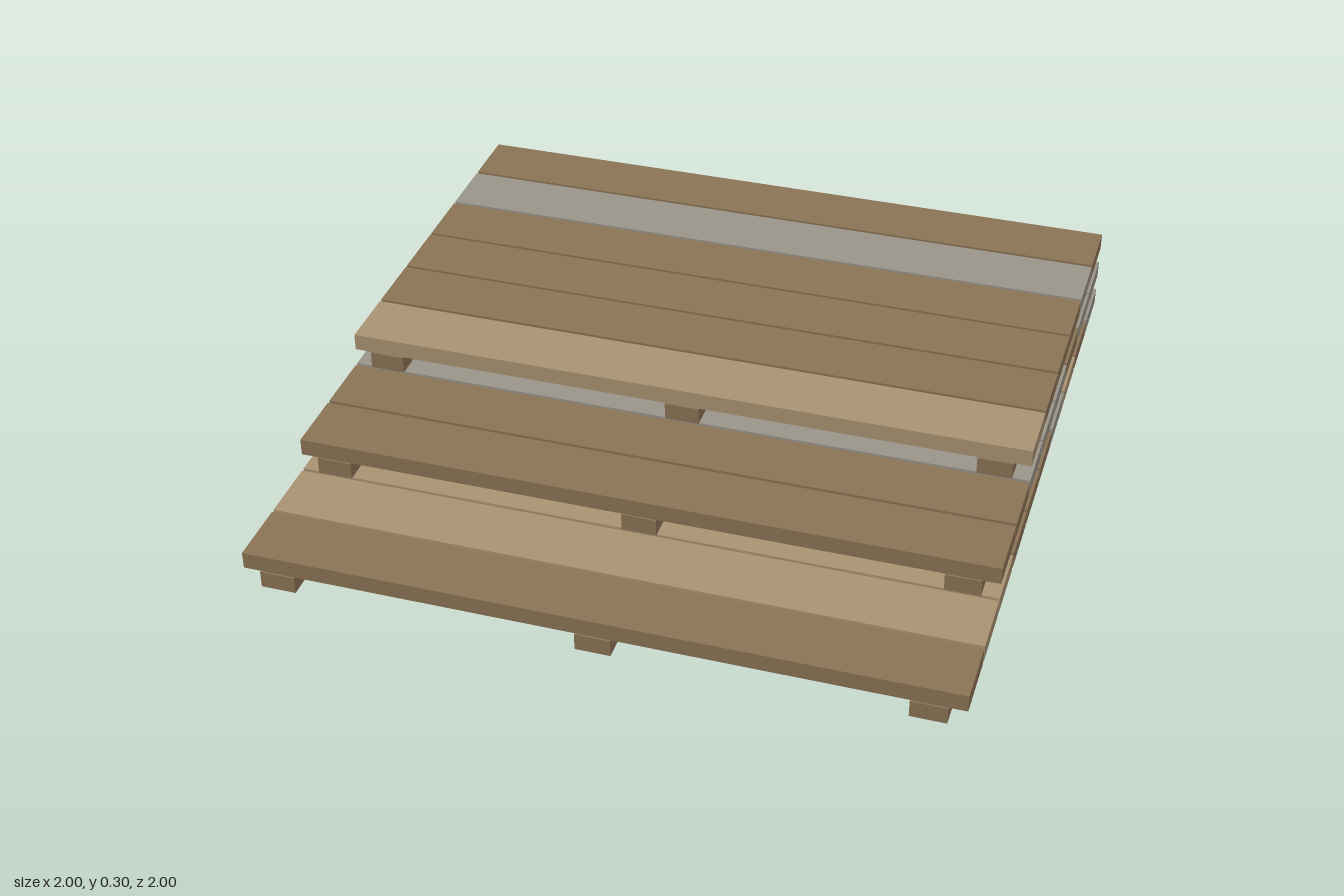
import * as THREE from 'three';

const material = (name, color) => {
  const m = new THREE.MeshStandardMaterial({ color });
  m.name = name;
  return m;
};

export function createModel() {
  const brown = material('brownWood', 0x8b7355);
  const tan = material('tanWood', 0xa89272);
  const grey = material('weatheredWood', 0x999489);
  const wood = { b: brown, t: tan, g: grey };

  const model = new THREE.Group();
  model.name = 'steppedDeck';

  const addBox = (parent, name, mat, size, position) => {
    const mesh = new THREE.Mesh(new THREE.BoxGeometry(...size), mat);
    mesh.name = name;
    mesh.position.set(...position);
    parent.add(mesh);
  };

  const thick = 0.05, pitch = 0.2, plankWidth = 0.19, postDepth = 0.1;
  const beamXs = [-0.9, 0, 0.9];

  // Plank colours of each tier, from the back edge to the front edge
  const tiers = ['gbtgbbbttb', 'ggbgggbb', 'bgbbbt'];

  tiers.forEach((planks, i) => {
    const tier = new THREE.Group();
    tier.name = `tier${i + 1}`;
    tier.position.y = i * 2 * thick;
    model.add(tier);

    // Beams running front to back under the planks
    const length = planks.length * pitch - postDepth;
    for (const x of beamXs) {
      addBox(tier, 'beam', brown, [0.1, thick, length], [x, thick / 2, -1 + postDepth + length / 2]);
    }

    // Planks running side to side with narrow gaps
    [...planks].forEach((c, k) => {
      addBox(tier, 'plank', wood[c], [2, thick, plankWidth], [0, thick * 1.5, -0.9 + k * pitch]);
    });
  });

  // Upright posts closing the back, just proud of the planks
  for (const x of beamXs) {
    addBox(model, 'backPost', brown, [0.1, 0.25, postDepth], [x, 0.125, -1 + postDepth / 2]);
  }

  return model;
}
